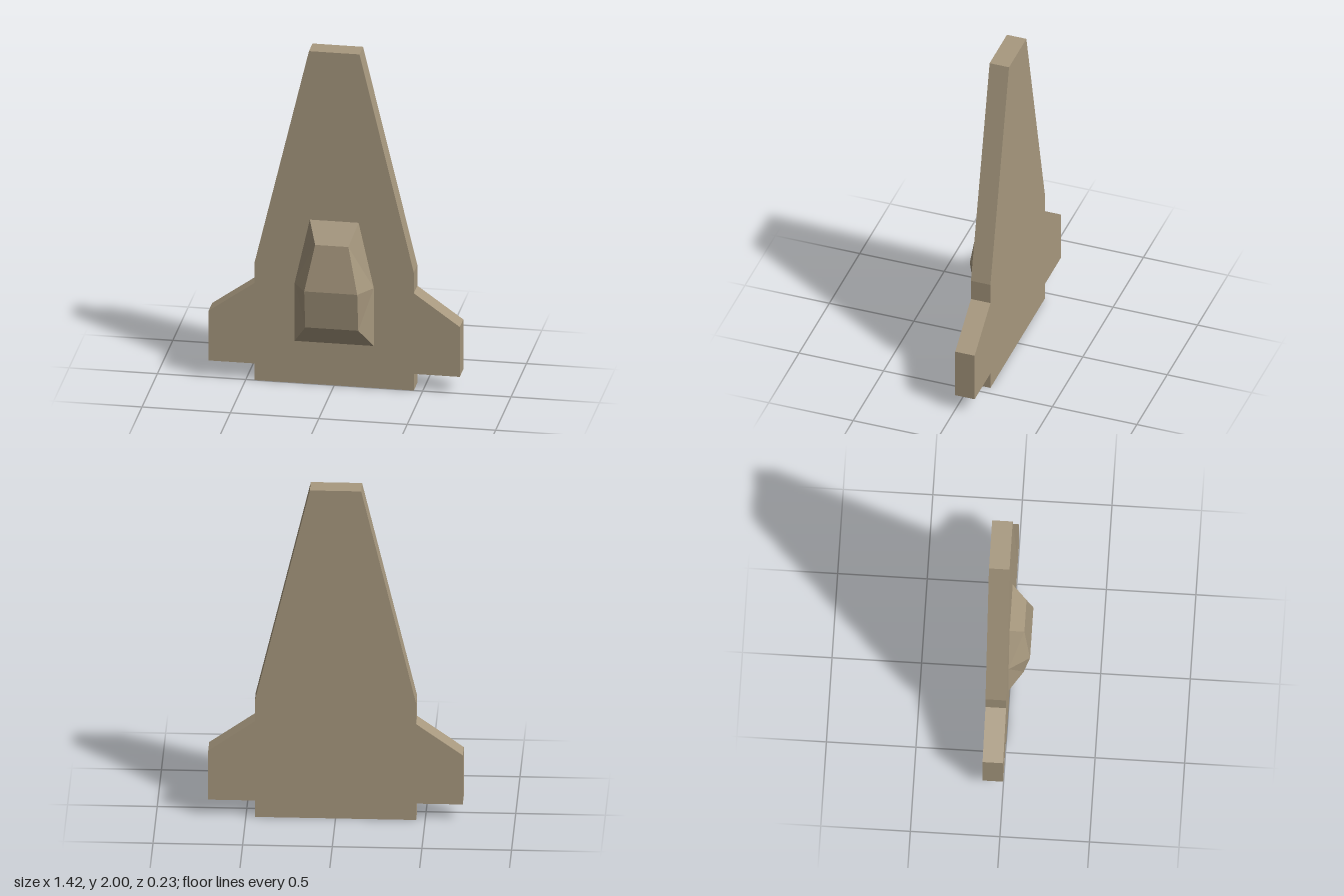
import * as THREE from 'three';

export function createModel() {
  const group = new THREE.Group();
  const tan = new THREE.MeshStandardMaterial({ color: 0xa8997f, flatShading: true });
  tan.name = 'tan hull';

  // Hull: mirrored half outline, extruded backwards from z = 0
  const half = [[0.45, 0], [0.45, 0.1], [0.71, 0.1], [0.71, 0.4], [0.45, 0.585], [0.45, 0.71], [0.143, 2]];
  const outline = [...half, ...half.map(([x, y]) => [-x, y]).reverse()];
  const shape = new THREE.Shape(outline.map(([x, y]) => new THREE.Vector2(x, y)));
  const hullGeometry = new THREE.ExtrudeGeometry(shape, { depth: 0.115, bevelEnabled: false });
  hullGeometry.translate(0, 0, -0.115);
  const hull = new THREE.Mesh(hullGeometry, tan);
  hull.name = 'hull';
  group.add(hull);

  // Canopy: cross-sections of [base x, base y, top x, top y, top z]
  const rows = [
    [0.224, 0.252, 0.15, 0.37, 0.08],
    [0.224, 0.6, 0.15, 0.6, 0.115],
    [0.138, 0.987, 0.094, 0.87, 0.08],
  ].map(([bx, by, tx, ty, tz]) => [[-bx, by, 0], [-tx, ty, tz], [tx, ty, tz], [bx, by, 0]]);
  const positions = [];
  const quad = (a, b, c, d) => positions.push(...a, ...b, ...c, ...a, ...c, ...d);
  for (let i = 0; i < 2; i++) {
    for (let j = 0; j < 3; j++) {
      const a = rows[i][j], b = rows[i][j + 1], c = rows[i + 1][j + 1], d = rows[i + 1][j];
      // Side facets fold from the widest base point to the top's end corners
      if ((i === 0) === (j === 2)) quad(a, b, c, d);
      else quad(b, c, d, a);
    }
  }
  // Sloped ends
  quad(rows[0][0], rows[0][3], rows[0][2], rows[0][1]);
  quad(rows[2][1], rows[2][2], rows[2][3], rows[2][0]);
  const canopyGeometry = new THREE.BufferGeometry();
  canopyGeometry.setAttribute('position', new THREE.Float32BufferAttribute(positions, 3));
  canopyGeometry.computeVertexNormals();
  const canopy = new THREE.Mesh(canopyGeometry, tan);
  canopy.name = 'canopy';
  group.add(canopy);

  return group;
}
